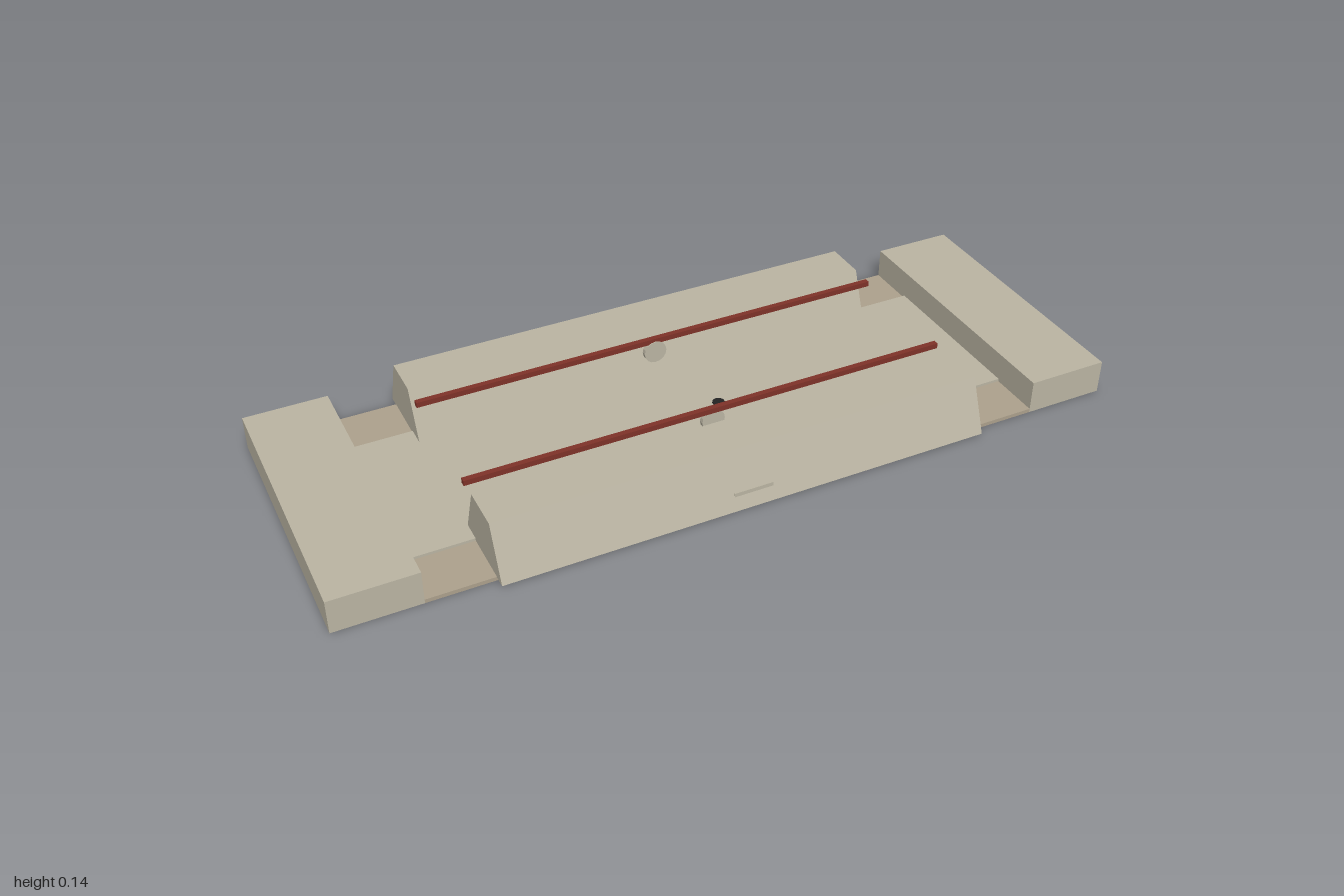
import * as THREE from 'three';

export function createModel() {
  const model = new THREE.Group();
  const mat = (color) => new THREE.MeshStandardMaterial({ color, flatShading: true });
  const stone = mat(0xbab4a2), earth = mat(0xaca08c), red = mat(0x7e3228), dark = mat(0x222222);

  const add = (name, geometry, material, x = 0, y = 0, z = 0) => {
    const mesh = new THREE.Mesh(geometry, material);
    mesh.name = name;
    mesh.position.set(x, y, z);
    model.add(mesh);
    return mesh;
  };
  // Box given by its size, its centre in x and z and the height of its underside
  const box = (name, w, h, d, material, x, y, z) =>
    add(name, new THREE.BoxGeometry(w, h, d), material, x, y + h / 2, z);

  // Thin base and the slightly raised floor between the banks
  box('basePlate', 1.58, 0.01, 0.714, earth, 0, 0, 0);
  box('floor', 1.58, 0.016, 0.446, stone, 0, 0.001, 0);

  // Raised blocks at both ends
  for (const s of [-1, 1]) box('endBlock', 0.21, 0.088, 0.714, stone, s * 0.895, 0, 0);

  // Cross-section of a sloping bank, running along x
  const profile = new THREE.Shape([
    [0.168, 0.008], [0.388, 0.008], [0.333, 0.143], [0.222, 0.143],
  ].map(([z, y]) => new THREE.Vector2(z, y)));
  const bankGeometry = new THREE.ExtrudeGeometry(profile, { depth: 1.25, bevelEnabled: false });
  bankGeometry.translate(0, 0, -0.625);
  bankGeometry.rotateY(-Math.PI / 2);

  for (const s of [-1, 1]) {
    const bank = add('bank', bankGeometry, stone);
    if (s < 0) bank.rotation.y = Math.PI;

    // Rail beside the bank with a round disc at its middle
    box('rail', 1.25, 0.014, 0.014, red, 0, 0.129, s * 0.164);
    const disc = add('railDisc', new THREE.CylinderGeometry(0.03, 0.03, 0.013, 16), stone, 0, 0.105, s * 0.161);
    disc.rotation.x = Math.PI / 2;
  }

  // Small ledge on the front slope and a peg in the floor
  box('frontLedge', 0.1, 0.03, 0.02, stone, 0, 0.02, 0.365);
  add('floorPeg', new THREE.CylinderGeometry(0.016, 0.016, 0.02, 10), dark, 0.1, 0.01, 0);

  return model;
}
